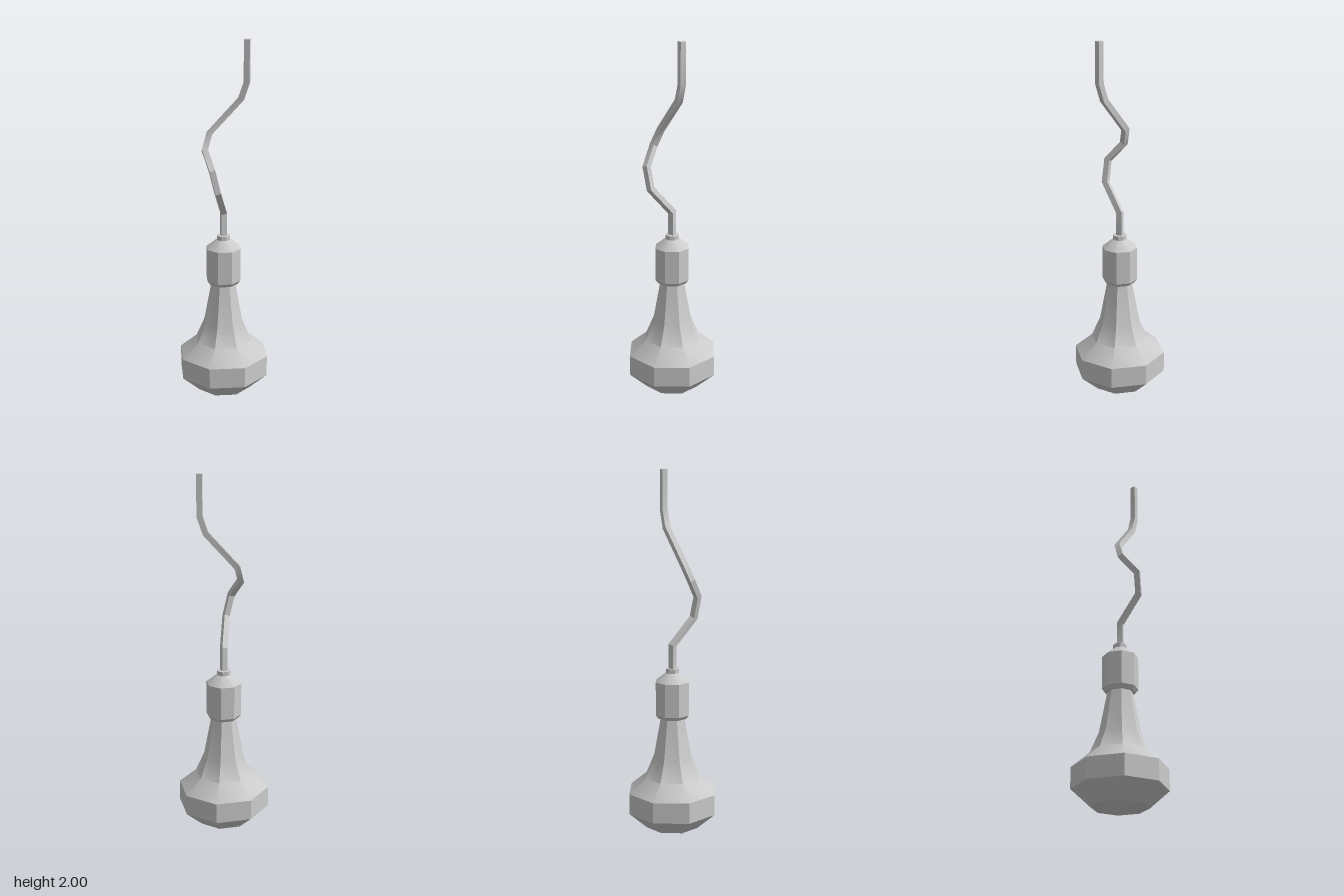
import * as THREE from 'three';
import { toCreasedNormals } from 'three/addons/utils/BufferGeometryUtils.js';

const material = new THREE.MeshStandardMaterial({ color: 0xcccccc });
const CREASE = THREE.MathUtils.degToRad(30);

// Eight-sided turned part; radii are measured to the middle of the flat sides.
function octagonPart(name, profile) {
  const k = 1 / Math.cos(Math.PI / 8);
  const points = profile.map(([r, y]) => new THREE.Vector2(r * k, y));
  const geometry = new THREE.LatheGeometry(points, 8, Math.PI / 8);
  const mesh = new THREE.Mesh(toCreasedNormals(geometry, CREASE), material);
  mesh.name = name;
  return mesh;
}

// Square cord swept along a bent path, with mitred joints.
function squareCord(name, path, width, turn) {
  const pts = path.map((p) => new THREE.Vector3(...p));
  const dirs = pts.slice(1).map((p, i) => p.clone().sub(pts[i]).normalize());
  const half = width / Math.SQRT2;
  let ring = [0, 1, 2, 3].map((i) => {
    const a = turn + Math.PI / 4 + (i * Math.PI) / 2;
    return pts[0].clone().add(new THREE.Vector3(Math.cos(a) * half, 0, -Math.sin(a) * half));
  });
  const rings = [ring];
  dirs.forEach((dir, i) => {
    // Slide every corner along the segment until it meets the mitre plane.
    const normal = dir.clone().add(dirs[i + 1] ?? dir).normalize();
    ring = ring.map((c) => {
      const t = pts[i + 1].clone().sub(c).dot(normal) / dir.dot(normal);
      return c.clone().addScaledVector(dir, t);
    });
    rings.push(ring);
  });
  const index = [];
  for (let r = 0; r < rings.length - 1; r++) {
    for (let i = 0; i < 4; i++) {
      const a = r * 4 + i, b = r * 4 + ((i + 1) % 4);
      index.push(a, a + 4, b, b, a + 4, b + 4);
    }
  }
  const e = (rings.length - 1) * 4;
  index.push(0, 1, 2, 0, 2, 3, e, e + 2, e + 1, e, e + 3, e + 2);
  const geometry = new THREE.BufferGeometry().setFromPoints(rings.flat());
  geometry.setIndex(index);
  const mesh = new THREE.Mesh(toCreasedNormals(geometry, CREASE), material);
  mesh.name = name;
  return mesh;
}

export function createModel() {
  const model = new THREE.Group();
  model.name = 'hangingBulb';

  // Glass bulb with a flared neck
  model.add(octagonPart('bulb', [
    [0, 0.005], [0.14, 0.033], [0.235, 0.125], [0.235, 0.24],
    [0.147, 0.32], [0.103, 0.43], [0.062, 0.665],
  ]));

  // Socket around the neck
  model.add(octagonPart('socket', [
    [0.055, 0.655], [0.076, 0.655], [0.09, 0.675], [0.09, 0.86], [0.035, 0.908], [0, 0.908],
  ]));

  // Collar where the cord enters the socket
  model.add(octagonPart('collar', [[0.035, 0.9], [0.035, 0.932], [0, 0.932]]));

  // Kinked cord, listed from the top down
  model.add(squareCord('cord', [
    [0.117, 2, -0.05], [0.117, 1.78, -0.05], [0.09, 1.69, -0.035],
    [-0.045, 1.505, 0.062], [-0.045, 1.42, 0.1], [0.035, 1.323, 0.135],
    [0.054, 1.205, 0.114], [0, 1.06, 0], [0, 0.92, 0],
  ], 0.031, Math.PI / 6));

  return model;
}
